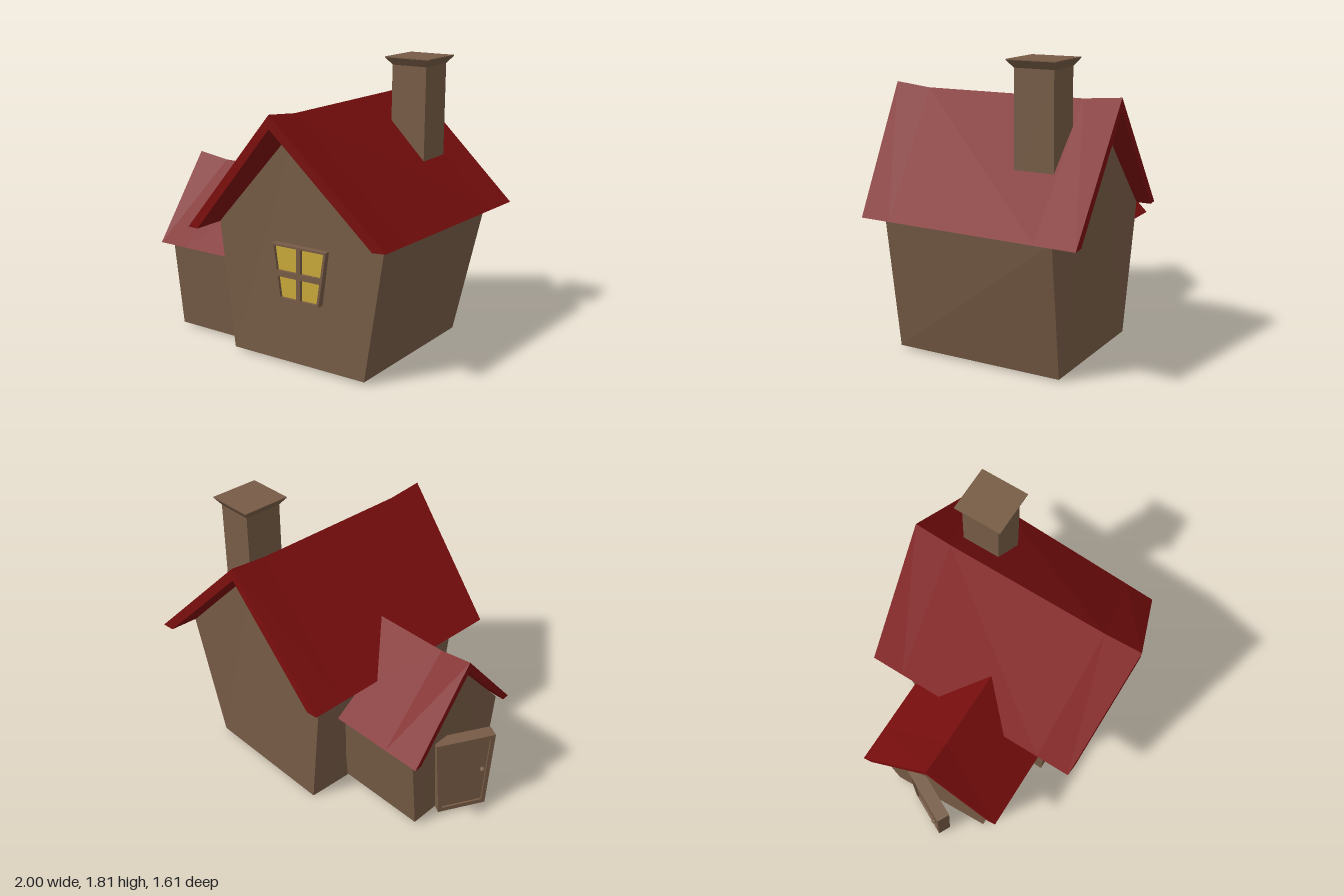
import * as THREE from 'three';

const material = (name, color) => Object.assign(new THREE.MeshStandardMaterial({ color }), { name });

// Flat-shaded solid through rings of equal length; caps lists the polygons closing each end
function loft(rings, caps) {
  const tris = [];
  const n = rings[0].length;
  for (let s = 0; s + 1 < rings.length; s++) {
    for (let i = 0; i < n; i++) {
      const j = (i + 1) % n;
      const [a, b, c, d] = [rings[s][i], rings[s][j], rings[s + 1][j], rings[s + 1][i]];
      tris.push([a, d, c], [a, c, b]);
    }
  }
  for (const cap of caps) {
    for (let k = 1; k + 1 < cap.length; k++) {
      const pick = (r) => [r[cap[0]], r[cap[k]], r[cap[k + 1]]];
      tris.push(pick(rings[0]), pick(rings[rings.length - 1]).reverse());
    }
  }
  // Turn every face outward using the sign of the enclosed volume
  const V = (p) => new THREE.Vector3(...p);
  const volume = tris.reduce((v, [a, b, c]) => v + V(a).dot(V(b).cross(V(c))), 0);
  if (volume < 0) tris.forEach((t) => t.reverse());
  const geometry = new THREE.BufferGeometry();
  geometry.setAttribute('position', new THREE.Float32BufferAttribute(tris.flat(2), 3));
  geometry.computeVertexNormals();
  return geometry;
}

// Chevron roof section with level eave undersides
function roofRing(left, apex, right, drop) {
  const inset = (p) => [p[0] + (apex[0] - p[0]) * 0.115, p[1], p[2] + (apex[2] - p[2]) * 0.115];
  return [left, apex, right, inset(right), [apex[0], apex[1] - drop, apex[2]], inset(left)];
}
const ROOF_CAPS = [[0, 1, 4, 5], [1, 2, 3, 4]];
const WALL_CAPS = [[3, 4, 0, 1, 2]];

const polygon = (pts) => pts.map((p) => new THREE.Vector2(...p));
const extrude = (shape, depth) => new THREE.ExtrudeGeometry(shape, { depth, bevelEnabled: false });

export function createModel() {
  const model = new THREE.Group();
  const brown = material('brown walls', 0x775c46);
  const red = material('red roof', 0x7c0e0e);
  const yellow = material('yellow glass', 0xc9a938);
  const add = (name, geometry, mat, parent = model) => {
    const mesh = new THREE.Mesh(geometry, mat);
    mesh.name = name;
    parent.add(mesh);
    return mesh;
  };

  // Main house: crooked pentagon walls that widen upward
  add('mainWalls', loft([
    [[-0.22, 0.02, 0.51], [0.735, 0.025, 0.505], [0.86, 0.865, 0.505], [0.285, 1.5, 0.55], [-0.29, 0.85, 0.55]],
    [[-0.175, 0.005, -0.58], [0.735, 0.015, -0.58], [0.91, 0.865, -0.62], [0.285, 1.5, -0.6], [-0.29, 0.85, -0.61]],
  ], WALL_CAPS), brown);

  // Main roof: [ridge y, left z, ridge z, right z] for each section
  const mainSections = [
    [1.59, 0.755, 0.8, 0.62],
    [1.565, 0.53, 0.56, 0.42],
    [1.565, -0.48, -0.5, -0.55],
    [1.585, -0.7, -0.745, -0.805],
  ];
  add('mainRoof', loft(mainSections.map(([y, zl, zm, zr]) => roofRing(
    [-0.365, 0.84, zl],
    [0.285, y, zm],
    [0.935 + 0.0456 * (0.62 - zr), 0.867, zr],
    0.08,
  )), ROOF_CAPS), red);

  // Side wing
  add('wingWalls', loft([
    [[-0.77, 0.02, 0.38], [-0.8, 0.02, -0.29], [-0.83, 0.62, -0.37], [-0.8, 1.04, 0.05], [-0.785, 0.61, 0.44]],
    [[-0.15, 0.02, 0.38], [-0.15, 0.02, -0.29], [-0.15, 0.62, -0.37], [-0.15, 1.03, 0.05], [-0.15, 0.61, 0.44]],
  ], WALL_CAPS), brown);

  // Wing roof: [ridge y, front x, ridge x, back x] for each section
  const wingSections = [
    [1.12, -0.825, -0.867, -0.915],
    [1.09, -0.62, -0.645, -0.67],
    [1.09, -0.1, -0.1, -0.1],
  ];
  add('wingRoof', loft(wingSections.map(([y, xf, xm, xb]) => roofRing(
    [xf, 0.6, 0.512],
    [xm, y, 0.055],
    [xb, 0.616, -0.432],
    0.065,
  )), ROOF_CAPS), red);

  // Chimney shaft with a flared cap
  const chimney = new THREE.Group();
  chimney.name = 'chimney';
  chimney.position.set(0.547, 0, -0.38);
  model.add(chimney);
  add('chimneyShaft', new THREE.BoxGeometry(0.235, 0.77, 0.25).translate(0, 1.385, 0), brown, chimney);
  const square = (w, y, d) => [[-w, y, -d], [w, y, -d], [w, y, d], [-w, y, d]];
  add('chimneyCap', loft([
    square(0.117, 1.765, 0.125), square(0.152, 1.81, 0.157), square(0.152, 1.816, 0.157),
  ], [[0, 1, 2, 3]]), brown, chimney);

  // Window: tapered frame with four panes
  const windowGroup = new THREE.Group();
  windowGroup.name = 'window';
  windowGroup.position.set(0.31, 0, 0.5);
  windowGroup.rotation.y = 0.035;
  model.add(windowGroup);
  const half = (y) => 0.14 + 0.05 * (y - 0.44) / 0.34;
  const trapezoid = (y0, y1, f) => polygon([[-f(y0), y0], [f(y0), y0], [f(y1), y1], [-f(y1), y1]]);
  const frame = new THREE.Shape(trapezoid(0.44, 0.78, half));
  for (const side of [-1, 1]) {
    for (const [y0, y1] of [[0.452, 0.582], [0.618, 0.768]]) {
      const edge = (y) => side * (half(y) - 0.015);
      const inner = side * 0.014;
      frame.holes.push(new THREE.Path(polygon([[inner, y0], [edge(y0), y0], [edge(y1), y1], [inner, y1]])));
    }
  }
  add('windowFrame', extrude(frame, 0.07), brown, windowGroup);
  const glass = new THREE.Shape(trapezoid(0.447, 0.773, (y) => half(y) - 0.008));
  add('windowGlass', extrude(glass, 0.008).translate(0, 0, 0.042), yellow, windowGroup);

  // Door standing ajar, hinged on the wing gable
  const door = new THREE.Group();
  door.name = 'door';
  door.position.set(-0.827, 0, -0.153);
  door.rotation.y = -2.037;
  model.add(door);
  const outline = polygon([[0.035, 0.02], [0.35, 0.02], [0.385, 0.572], [0, 0.572]]);
  add('doorLeaf', extrude(new THREE.Shape(outline), 0.073).translate(0, 0, -0.085), brown, door);
  const rim = new THREE.Shape(outline);
  rim.holes.push(new THREE.Path(polygon([[0.06, 0.05], [0.325, 0.05], [0.355, 0.545], [0.03, 0.545]])));
  add('doorRim', extrude(rim, 0.012).translate(0, 0, -0.012), brown, door);
  add('doorKnob', new THREE.SphereGeometry(0.018, 12, 8).translate(0.315, 0.31, 0.002), brown, door);

  return model;
}
